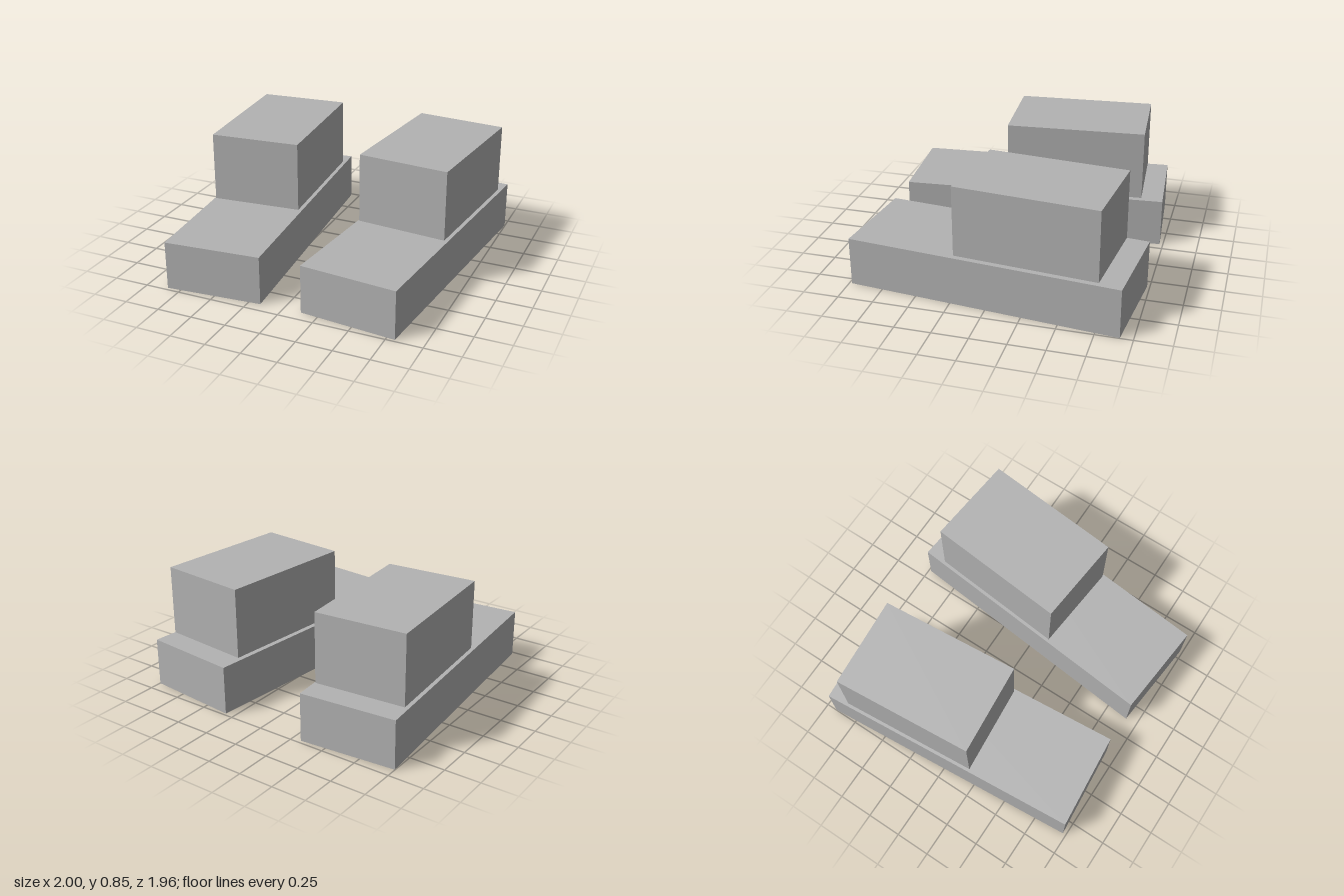
import * as THREE from 'three';

export function createModel() {
  const model = new THREE.Group();
  model.name = 'steppedBlocks';
  const grey = new THREE.MeshStandardMaterial({ color: 0xb3b3b3 });
  grey.name = 'grey';

  function addBlock(parent, name, width, depth, bottom, top, z) {
    const mesh = new THREE.Mesh(new THREE.BoxGeometry(width, top - bottom, depth), grey);
    mesh.name = name;
    mesh.position.set(0, (bottom + top) / 2, z);
    parent.add(mesh);
  }

  // One long base with a shorter block hovering just above its rear half
  function addStack(name, x, turn) {
    const stack = new THREE.Group();
    stack.name = name;
    stack.position.x = x;
    stack.rotation.y = turn;
    addBlock(stack, 'base', 0.684, 1.904, 0, 0.344, 0);
    addBlock(stack, 'upperBlock', 0.645, 0.988, 0.355, 0.849, -0.304);
    model.add(stack);
  }

  // The two stacks converge slightly towards the front
  addStack('rightStack', -0.582, 0.079);
  addStack('leftStack', 0.562, -0.1);

  return model;
}
